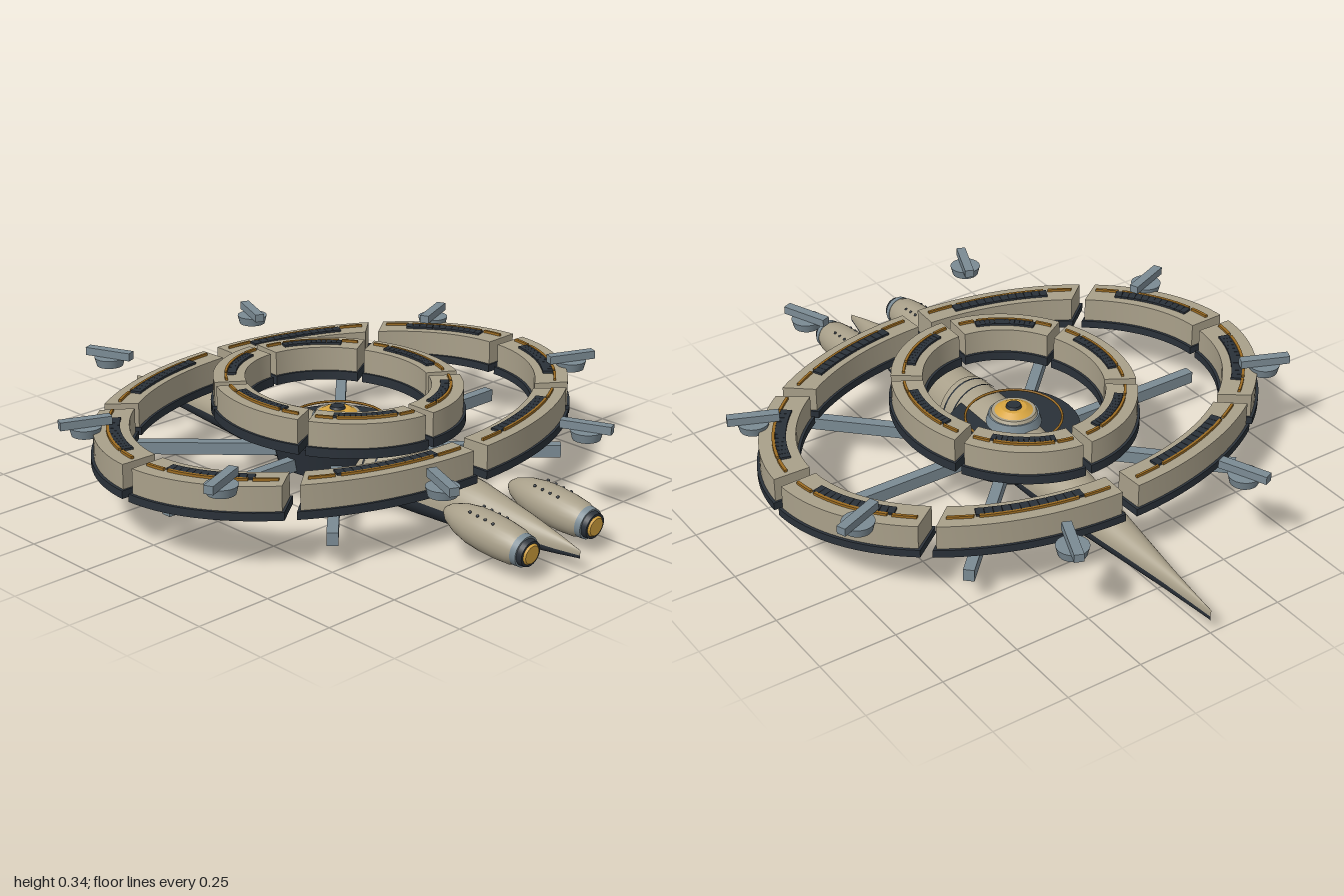
import * as THREE from 'three';
import { toCreasedNormals } from 'three/addons/utils/BufferGeometryUtils.js';

const mat = (name, color) => {
  const m = new THREE.MeshStandardMaterial({ color });
  m.name = name;
  return m;
};

export function createModel() {
  const M = {
    hull: mat('sandHull', 0xa9a08a),
    dark: mat('darkPlating', 0x2a3139),
    steel: mat('blueSteel', 0x7b8b94),
    gold: mat('goldGlow', 0xd8a540),
    trim: mat('bronzeTrim', 0x9c6c22),
  };
  const root = new THREE.Group();
  const add = (name, geo, material, parent = root, x = 0, y = 0, z = 0) => {
    const m = new THREE.Mesh(geo, material);
    m.name = name;
    m.position.set(x, y, z);
    parent.add(m);
    return m;
  };
  const group = (name) => {
    const g = new THREE.Group();
    g.name = name;
    root.add(g);
    return g;
  };

  // Hull cross-sections: z, half width, bottom, split line, top
  const sections = [
    [-1, 0.003, 0.045, 0.06, 0.08], [-0.8, 0.025, 0.032, 0.068, 0.105], [-0.6, 0.053, 0.021, 0.075, 0.13],
    [-0.4, 0.08, 0.012, 0.08, 0.155], [-0.2, 0.095, 0.005, 0.082, 0.18], [0, 0.1, 0.002, 0.082, 0.195],
    [0.2, 0.1, 0, 0.08, 0.195], [0.4, 0.092, 0.004, 0.078, 0.185], [0.6, 0.077, 0.011, 0.074, 0.165],
    [0.8, 0.045, 0.027, 0.066, 0.125], [0.92, 0.02, 0.04, 0.061, 0.097], [1, 0.002, 0.05, 0.06, 0.075],
  ];
  const sectionAt = (z) => {
    let i = 0;
    while (i < sections.length - 2 && sections[i + 1][0] < z) i++;
    const a = sections[i], b = sections[i + 1], t = (z - a[0]) / (b[0] - a[0]);
    return a.map((v, k) => v + (b[k] - v) * t);
  };
  // Loft half of the hull between two z positions, with an optional offset
  const halfHull = (upper, z0, z1, rows, grow = 0) => {
    const n = 18, pos = [], idx = [];
    for (let i = 0; i <= rows; i++) {
      const [z, w, bottom, split, top] = sectionAt(z0 + ((z1 - z0) * i) / rows);
      for (let j = 0; j <= n; j++) {
        const a = Math.PI * (j / n + (upper ? 0 : 1));
        const h = (upper ? top - split : split - bottom) + grow;
        pos.push((w + grow) * Math.cos(a), split + h * Math.sin(a), z);
        if (i < rows && j < n) {
          const p = i * (n + 1) + j, q = p + n + 1;
          idx.push(p, p + 1, q, p + 1, q + 1, q);
        }
      }
    }
    const g = new THREE.BufferGeometry();
    g.setAttribute('position', new THREE.Float32BufferAttribute(pos, 3));
    g.setIndex(idx);
    g.computeVertexNormals();
    return g;
  };
  add('upperHull', halfHull(true, -1, 1, 50), M.hull);
  add('lowerHull', halfHull(false, -1, 1, 50), M.dark);
  add('hullCollar', halfHull(true, 0.21, 0.28, 2, 0.004), M.hull);
  add('hullBand', halfHull(true, 0.25, 0.257, 1, 0.007), M.dark);
  add('hullSeam', halfHull(true, 0.205, 0.211, 1, 0.006), M.dark);

  // Central hub and command dome
  const hub = group('hub');
  add('hubDisc', new THREE.CylinderGeometry(0.21, 0.19, 0.095, 48), M.dark, hub, 0, 0.118);
  const halo = add('hubHalo', new THREE.TorusGeometry(0.152, 0.004, 6, 64), M.trim, hub, 0, 0.199);
  halo.rotation.x = Math.PI / 2;
  add('domeBase', new THREE.CylinderGeometry(0.08, 0.088, 0.03, 40), M.steel, hub, 0, 0.198);
  add('domeCollar', new THREE.CylinderGeometry(0.07, 0.076, 0.012, 40), M.hull, hub, 0, 0.217);
  add('domeLens', new THREE.CylinderGeometry(0.04, 0.064, 0.014, 40), M.gold, hub, 0, 0.228);
  add('domeCap', new THREE.CylinderGeometry(0.022, 0.026, 0.01, 24), M.dark, hub, 0, 0.238);

  // Spokes from the hub
  for (const deg of [0, 45, 135, 180, 225, 315]) {
    const a = THREE.MathUtils.degToRad(deg);
    const s = add('spoke', new THREE.BoxGeometry(0.54, 0.04, 0.034), M.steel, root,
      0.43 * Math.cos(a), 0.1, -0.43 * Math.sin(a));
    s.rotation.y = a;
  }

  // Arc block of an elliptical ring, standing on y = 0
  const arcBlock = (o, i, a0, a1, height) => {
    const n = 18, pts = [];
    for (let k = 0; k <= n; k++) {
      const a = a0 + ((a1 - a0) * k) / n;
      pts.push(new THREE.Vector2(o[0] * Math.cos(a), o[1] * Math.sin(a)));
    }
    for (let k = n; k >= 0; k--) {
      const a = a0 + ((a1 - a0) * k) / n;
      pts.push(new THREE.Vector2(i[0] * Math.cos(a), i[1] * Math.sin(a)));
    }
    const g = new THREE.ExtrudeGeometry(new THREE.Shape(pts), { depth: height, bevelEnabled: false });
    g.rotateX(-Math.PI / 2);
    return toCreasedNormals(g, 0.5);
  };

  // Segmented habitat ring with plated base, roof panels and trim
  const ring = (name, outer, inner, count, turn, gap, y0, yMid, y1) => {
    const g = group(name);
    const at = (f) => [0, 1].map((k) => inner[k] + (outer[k] - inner[k]) * f);
    const step = (2 * Math.PI) / count;
    for (let s = 0; s < count; s++) {
      const a0 = turn + s * step + gap, a1 = turn + (s + 1) * step - gap;
      const t = (f) => a0 + (a1 - a0) * f;
      add('ringBase', arcBlock(outer, inner, a0, a1, yMid - y0), M.dark, g, 0, y0);
      add('ringBody', arcBlock(at(0.93), at(0.07), t(0.015), t(0.985), y1 - yMid), M.hull, g, 0, yMid);
      for (const [f0, f1] of [[0.05, 0.2], [0.23, 0.77], [0.8, 0.95]])
        add('ringTrim', arcBlock(at(0.62), at(0.55), t(f0), t(f1), 0.008), M.trim, g, 0, y1);
      // Row of roof panels
      for (let k = 0; k < 12; k++) {
        const a = t(0.2 + (0.6 * (k + 0.5)) / 12), [rx, rz] = at(0.42);
        const tx = -rx * Math.sin(a), tz = -rz * Math.cos(a);
        const len = (Math.hypot(tx, tz) * (a1 - a0) * 0.6) / 12;
        const p = add('roofPanel', new THREE.BoxGeometry(len * 0.95, 0.008, (outer[0] - inner[0]) * 0.24), M.dark, g,
          rx * Math.cos(a), y1 + 0.003, -rz * Math.sin(a));
        p.rotation.y = Math.atan2(-tz, tx);
      }
    }
  };
  ring('outerRing', [0.848, 0.615], [0.71, 0.508], 8, 0, 0.024, 0.172, 0.197, 0.275);
  ring('innerRing', [0.375, 0.422], [0.262, 0.302], 6, Math.PI / 2 - 0.044, 0.026, 0.225, 0.255, 0.333);

  // Eight free-floating sentry pods
  for (let k = 0; k < 8; k++) {
    const a = Math.PI / 8 + (k * Math.PI) / 4;
    const pod = group('sentryPod');
    pod.position.set(0.81 * Math.cos(a), 0, -0.81 * Math.sin(a));
    pod.rotation.y = a;
    add('podDisc', new THREE.CylinderGeometry(0.05, 0.043, 0.028, 24), M.steel, pod, 0, 0.275);
    add('podBarrel', new THREE.BoxGeometry(0.16, 0.026, 0.03), M.steel, pod, 0, 0.301);
  }

  // Twin engines, slightly tilted, with nozzles at the front end
  const bodyProfile = [[0, -0.17], [0.014, -0.165], [0.03, -0.145], [0.048, -0.1], [0.058, -0.05],
    [0.061, 0], [0.06, 0.06], [0.055, 0.11], [0.046, 0.135]].map(([r, y]) => new THREE.Vector2(r, y));
  for (const side of [-1, 1]) {
    const e = group('engine');
    e.position.set(side * 0.14, 0.103, 0.77);
    e.rotation.x = Math.PI / 2 + 0.1;
    add('engineBody', new THREE.LatheGeometry(bodyProfile, 28), M.hull, e);
    add('engineCollar', new THREE.CylinderGeometry(0.048, 0.05, 0.02, 28), M.steel, e, 0, 0.138);
    add('engineNozzle', new THREE.CylinderGeometry(0.04, 0.043, 0.02, 28), M.dark, e, 0, 0.155);
    add('engineGlow', new THREE.CylinderGeometry(0.028, 0.034, 0.008, 28), M.gold, e, 0, 0.167);
    // Port lights along the upper flanks
    for (const s of [-1, 1])
      for (let k = 0; k < 4; k++)
        add('portLight', new THREE.SphereGeometry(0.005, 8, 6), M.dark, e, s * 0.03, -0.05 + k * 0.03, -0.052);
  }
  return root;
}
